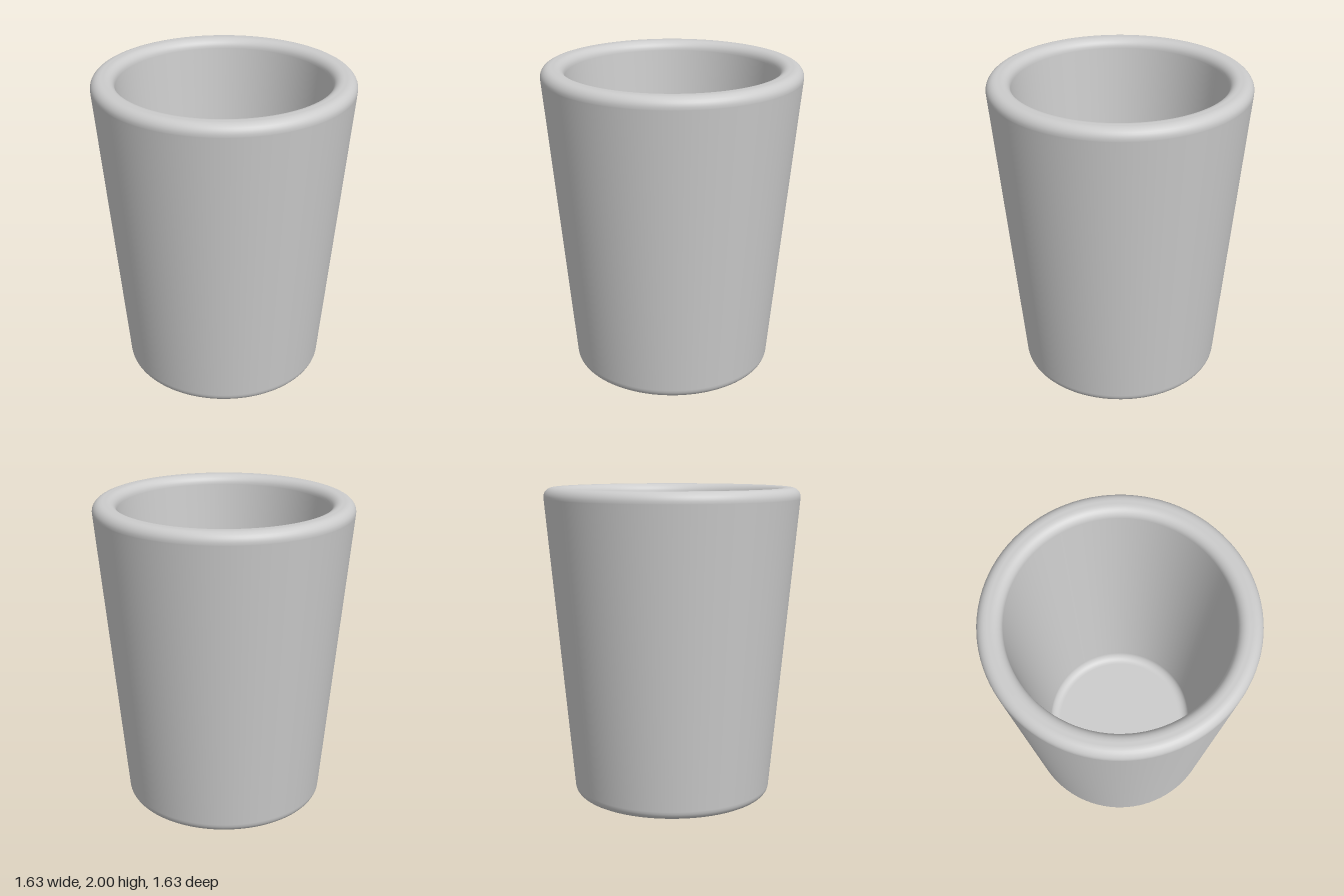
import * as THREE from 'three';

// Profile through corner points, each inner corner rounded by a tangent arc
function roundedProfile(corners, radius, steps = 8) {
  const pts = [corners[0].clone()];
  for (let i = 1; i < corners.length - 1; i++) {
    const c = corners[i];
    const a = corners[i - 1].clone().sub(c).normalize();
    const b = corners[i + 1].clone().sub(c).normalize();
    const half = Math.acos(a.dot(b)) / 2;
    const cut = radius / Math.tan(half);
    const centre = a.clone().add(b).normalize().multiplyScalar(radius / Math.sin(half)).add(c);
    const from = a.clone().multiplyScalar(cut).add(c).sub(centre);
    const to = b.clone().multiplyScalar(cut).add(c).sub(centre);
    const sweep = Math.atan2(from.cross(to), from.dot(to));
    // short straight runs beside the arc keep the flat faces evenly shaded
    pts.push(a.clone().multiplyScalar(cut + 0.005).add(c));
    for (let s = 0; s <= steps; s++) {
      pts.push(from.clone().rotateAround(new THREE.Vector2(), sweep * s / steps).add(centre));
    }
    pts.push(b.clone().multiplyScalar(cut + 0.005).add(c));
  }
  pts.push(corners[corners.length - 1].clone());
  return pts;
}

export function createModel() {
  const group = new THREE.Group();
  group.name = 'cup';

  // Underside, tapered outer wall, rim, inner wall, inner floor
  const corners = [
    [0, 0], [0.637, 0], [0.82, 2], [0.67, 2], [0.498, 0.12], [0, 0.12],
  ].map(([r, y]) => new THREE.Vector2(r, y));

  const body = new THREE.Mesh(
    new THREE.LatheGeometry(roundedProfile(corners, 0.06), 96),
    new THREE.MeshStandardMaterial({ color: 0xcccccc }),
  );
  body.name = 'cupBody';
  group.add(body);
  return group;
}
